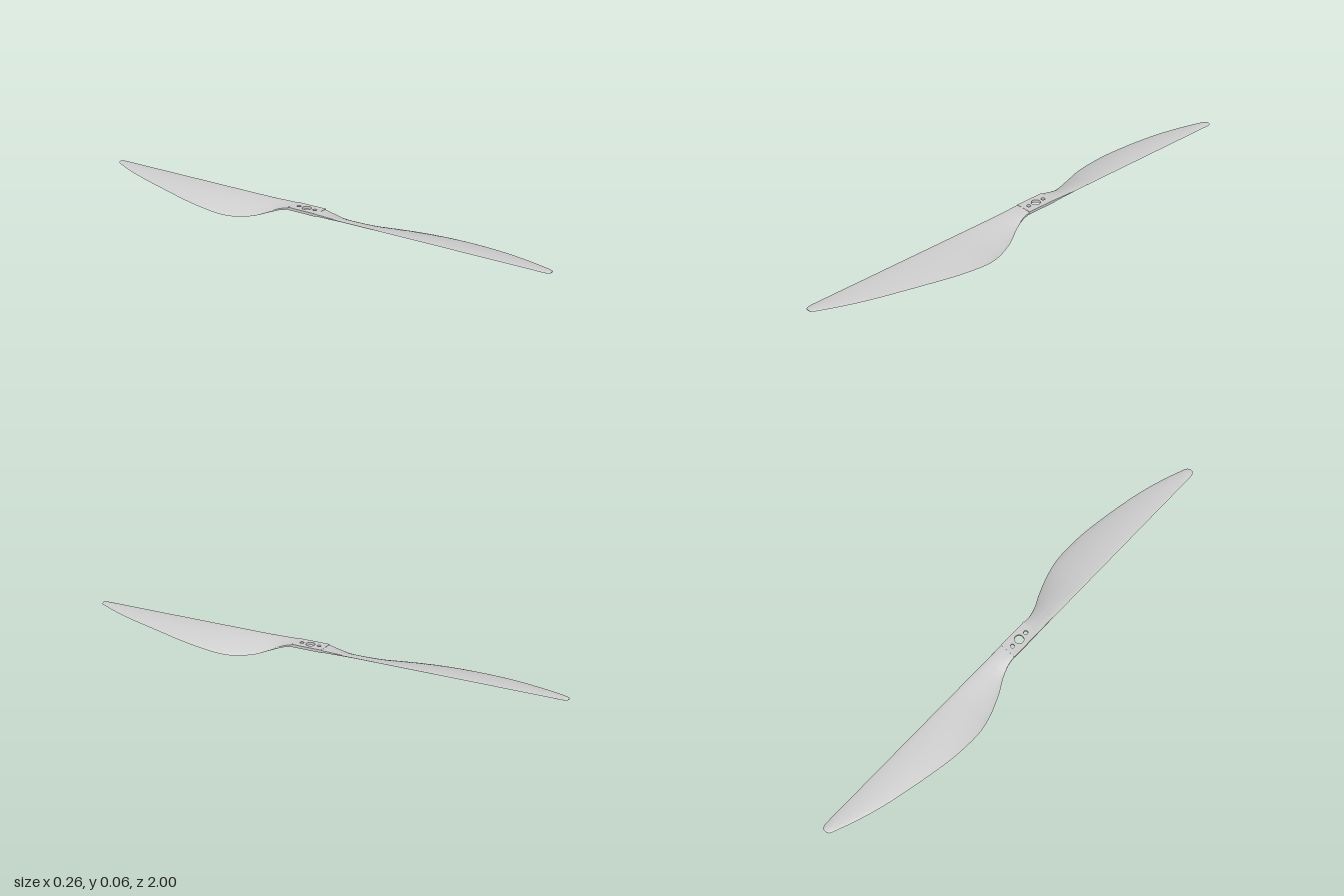
import * as THREE from 'three';
import { toCreasedNormals } from 'three/addons/utils/BufferGeometryUtils.js';

const material = new THREE.MeshStandardMaterial({ color: 0xcccccc, side: THREE.DoubleSide });
const HALF = 0.035; // half width of the hub, also the straight leading edge

// Trailing edge, from root to tip: x, y, z
const trailing = new THREE.CatmullRomCurve3([
  [0.034, 0.058, 0.06], [0.038, 0.048, 0.1], [0.055, 0.029, 0.15], [0.081, 0.012, 0.2],
  [0.112, 0.003, 0.28], [0.127, 0.007, 0.34], [0.131, 0.014, 0.4], [0.126, 0.025, 0.5],
  [0.111, 0.035, 0.6], [0.092, 0.043, 0.7], [0.069, 0.049, 0.8], [0.038, 0.054, 0.9],
  [0.011, 0.0575, 0.97], [0.004, 0.058, 0.987], [-0.002, 0.058, 0.996], [-0.012, 0.058, 1],
].map((p) => new THREE.Vector3(...p)));

// Blade: thin cambered sections lofted between the two edges
function bladeGeometry() {
  const stations = 75, n = 14, ring = n * 2;
  const pos = [], index = [];
  const { lerp, smoothstep } = THREE.MathUtils;
  for (let i = 0; i <= stations; i++) {
    const e = trailing.getPoint(i / stations);
    const tip = Math.max(0, (e.z - 0.975) / 0.025);
    const leadX = -HALF + 0.013 * (1 - Math.sqrt(Math.max(0, 1 - tip * tip)));
    const swell = smoothstep(e.z, 0.06, 0.22);
    const camber = 0.007 * swell * (1 - 0.7 * smoothstep(e.z, 0.4, 1));
    const half = lerp(0.0055, 0.0018, smoothstep(e.z, 0.1, 1));
    const power = lerp(0.12, 0.5, swell);
    for (let j = 0; j < ring; j++) {
      const upper = j < n;
      const s = upper ? j / n : (ring - j) / n;
      const t = (1 - Math.cos(Math.PI * s)) / 2;
      const bulge = Math.max(0, 4 * t * (1 - t));
      const y = lerp(0.0585, e.y, t) + camber * bulge + (upper ? 1 : -1) * half * bulge ** power;
      pos.push(lerp(leadX, e.x, t), y, e.z);
    }
  }
  for (let i = 0; i < stations; i++) {
    for (let j = 0; j < ring; j++) {
      const k = (j + 1) % ring;
      const a = i * ring + j, b = i * ring + k;
      index.push(a, a + ring, b, b, a + ring, b + ring);
    }
  }
  // Close the tip
  const last = stations * ring;
  for (let j = 1; j < ring - 1; j++) index.push(last, last + j + 1, last + j);
  const g = new THREE.BufferGeometry();
  g.setAttribute('position', new THREE.Float32BufferAttribute(pos, 3));
  g.setIndex(index);
  return toCreasedNormals(g, 0.8);
}

// Hub plate with a shaft hole and two screw holes
function hubGeometry() {
  const L = 0.064;
  const shape = new THREE.Shape();
  shape.moveTo(-HALF, -L).lineTo(HALF, -L).lineTo(HALF, L).lineTo(-HALF, L).closePath();
  for (const [v, r] of [[0, 0.018], [0.037, 0.008], [-0.037, 0.008]]) {
    shape.holes.push(new THREE.Path().absarc(0, v, r, 0, Math.PI * 2, true));
  }
  const g = new THREE.ExtrudeGeometry(shape, { depth: 0.011, bevelEnabled: false, curveSegments: 16 });
  g.rotateX(-Math.PI / 2);
  g.translate(0, 0.053, 0);
  return g;
}

export function createModel() {
  const propeller = new THREE.Group();
  propeller.name = 'propeller';

  const hub = new THREE.Mesh(hubGeometry(), material);
  hub.name = 'hub';
  propeller.add(hub);

  // Two identical blades, half a turn apart
  const geometry = bladeGeometry();
  ['frontBlade', 'backBlade'].forEach((name, i) => {
    const blade = new THREE.Mesh(geometry, material);
    blade.name = name;
    blade.rotation.y = i * Math.PI;
    propeller.add(blade);
  });
  return propeller;
}
